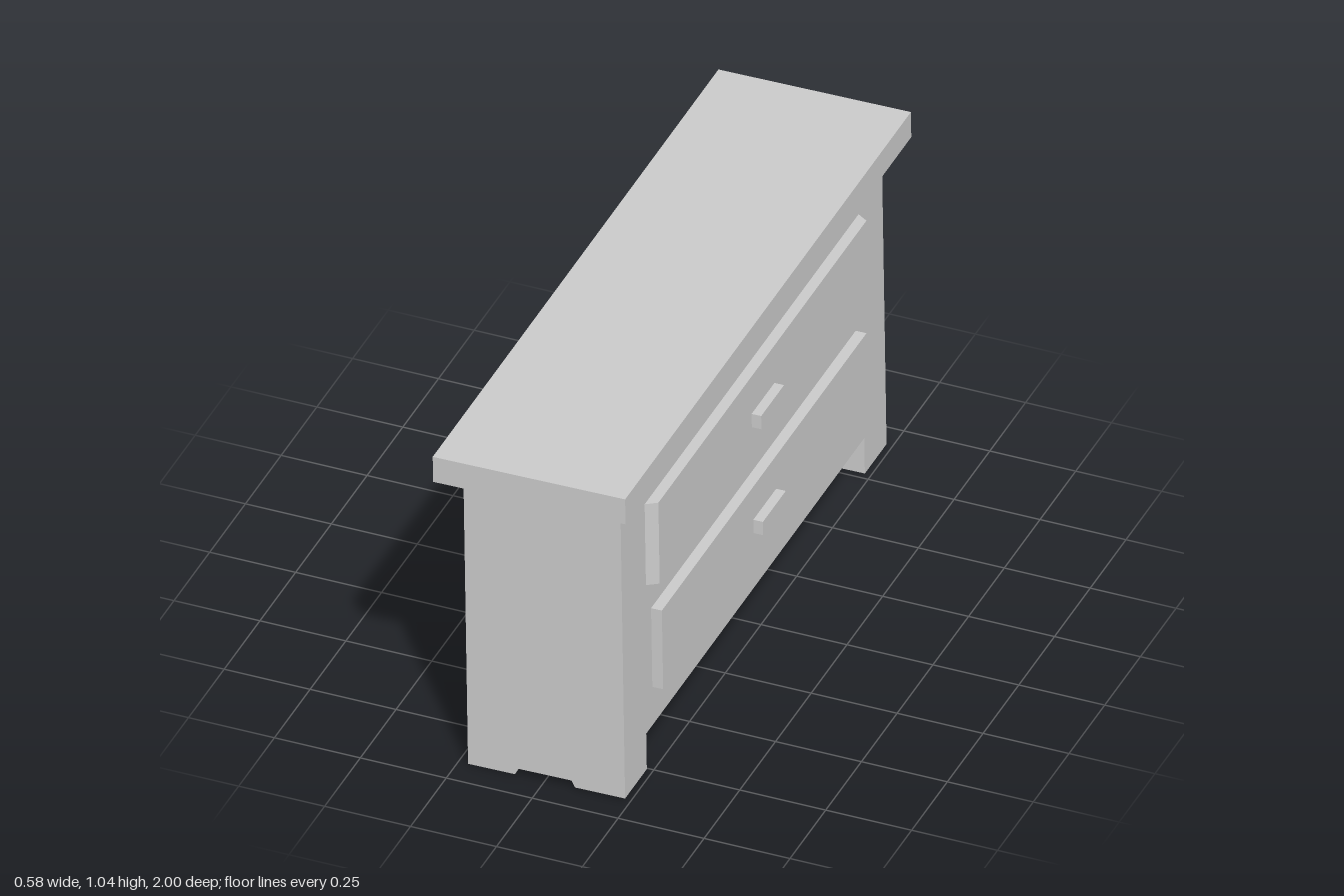
import * as THREE from 'three';

const material = new THREE.MeshStandardMaterial({ color: 0xcccccc, flatShading: true });

function add(parent, name, geometry) {
  const mesh = new THREE.Mesh(geometry, material);
  mesh.name = name;
  parent.add(mesh);
  return mesh;
}

// Box given by its limits on each axis
function box(x0, x1, y0, y1, z0, z1) {
  return new THREE.BoxGeometry(x1 - x0, y1 - y0, z1 - z0)
    .translate((x0 + x1) / 2, (y0 + y1) / 2, (z0 + z1) / 2);
}

function extrude(points, depth) {
  const shape = new THREE.Shape(points.map(([x, y]) => new THREE.Vector2(x, y)));
  return new THREE.ExtrudeGeometry(shape, { depth, bevelEnabled: false });
}

// Drawer front whose ends taper from zBack at the cabinet to zFront at the face
function drawerFront(x0, x1, y0, y1, zBack, zFront) {
  return extrude([[x0, -zBack], [x1, -zFront], [x1, zFront], [x0, zBack]], y1 - y0)
    .rotateX(-Math.PI / 2).translate(0, y0, 0);
}

export function createModel() {
  const model = new THREE.Group();
  model.name = 'chestOfDrawers';

  // The whole chest leans very slightly
  const chest = new THREE.Group();
  chest.name = 'chest';
  chest.position.set(0.0065, 0.004, 0);
  chest.rotation.z = 0.0145;
  model.add(chest);

  const half = 0.2285, legTop = 0.115, bodyTop = 0.954;
  add(chest, 'cabinet', box(-half, half, legTop, bodyTop, -0.915, 0.915));
  add(chest, 'top', box(-0.281, 0.279, bodyTop, 1.035, -1, 1));

  // End legs with a shallow arch cut underneath
  const legProfile = [
    [-half, 0], [-0.092, 0], [-0.082, 0.02], [0.073, 0.02],
    [0.083, 0], [half, 0], [half, legTop], [-half, legTop],
  ];
  for (const [name, z] of [['leftLeg', 0.763], ['rightLeg', -0.915]]) {
    add(chest, name, extrude(legProfile, 0.152)).position.z = z;
  }

  // Drawers with their handles
  const drawers = [
    { name: 'upper', y0: 0.587, y1: 0.849, back: 0.752, front: 0.728, h: 0.687 },
    { name: 'lower', y0: 0.237, y1: 0.492, back: 0.716, front: 0.716, h: 0.344 },
  ];
  for (const d of drawers) {
    const drawer = new THREE.Group();
    drawer.name = d.name + 'Drawer';
    chest.add(drawer);
    add(drawer, d.name + 'DrawerFront', drawerFront(half - 0.005, 0.26, d.y0, d.y1, d.back, d.front));
    add(drawer, d.name + 'Handle', box(0.255, 0.288, d.h, d.h + 0.043, -0.08, 0.08));
  }
  return model;
}
